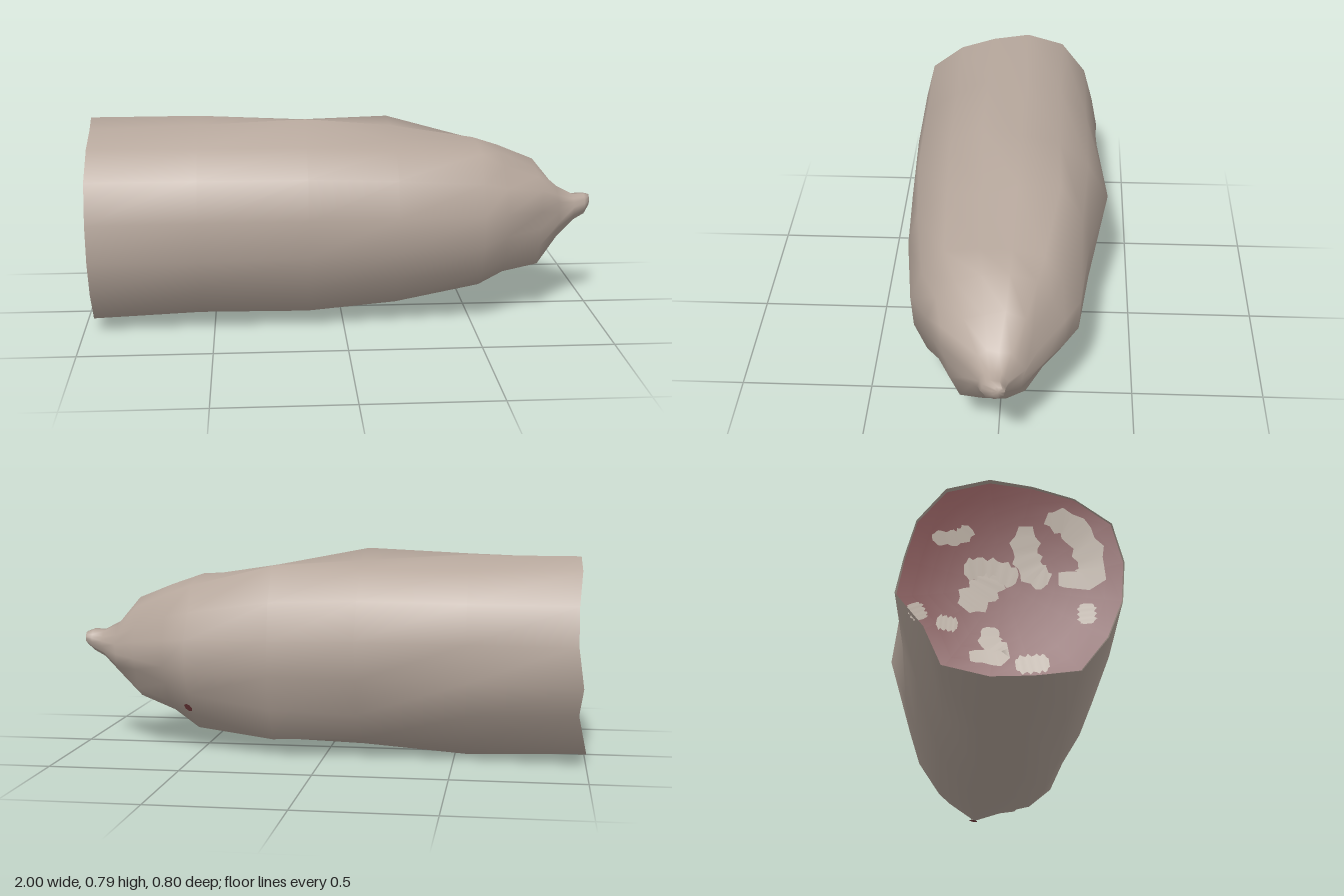
import * as THREE from 'three';

const SIDES = 16;

// Rings along the length: x, centre y, centre z, and radii clockwise from the top
// (a single radius makes a round, pleated ring)
const RINGS = [
  { x: -0.96, y: 0.4, z: 0, r: [.374, .396, .426, .407, .398, .402, .422, .374, .374, .412, .336, .378, .35, .372, .394, .384] },
  { x: -0.55, y: 0.4, z: 0, r: [.388, .389, .422, .407, .403, .391, .405, .374, .404, .386, .358, .353, .368, .38, .386, .385] },
  { x: -0.14, y: 0.4, z: 0, r: [.407, .386, .418, .392, .388, .391, .409, .393, .374, .379, .362, .349, .408, .388, .389, .36] },
  { x: 0.20, y: 0.4, z: 0, r: [.31, .361, .386, .376, .367, .352, .379, .33, .363, .39, .35, .332, .331, .361, .4, .339] },
  { x: 0.53, y: 0.4, z: 0, r: [.296, .336, .333, .335, .328, .328, .316, .294, .329, .294, .275, .293, .297, .272, .303, .287] },
  { x: 0.63, y: 0.4, z: 0, r: [.25, .26, .265, .265, .25, .265, .265, .25, .26, .245, .22, .245, .24, .235, .26, .255] },
  { x: 0.77, y: 0.4, z: 0, r: [.18, .195, .233, .204, .185, .205, .235, .21, .205, .19, .145, .165, .148, .15, .19, .198] },
  { x: 0.86, y: 0.39, z: 0.005, r: 0.11 },
  { x: 0.93, y: 0.405, z: 0.008, r: 0.056 },
  { x: 0.975, y: 0.418, z: 0.006, r: 0.044 },
  { x: 1.0, y: 0.428, z: -0.012, r: 0.024 },
];
const PLEAT = 0.12;

// Torn rim: how far single corners stick out past the cut
const RIM = { 9: -0.04, 10: -0.008, 11: -0.02, 14: -0.012, 15: -0.01 };

function ringPoint(i, j, scale = 1) {
  const { x, y, z, r } = RINGS[i];
  const k = j % SIDES;
  const a = THREE.MathUtils.degToRad(14.5 + k * 22.5 - 6 * Math.sin(Math.PI * k / SIDES) ** 2);
  const radius = scale * (Array.isArray(r) ? r[k] : r * (1 - PLEAT * (k % 2)));
  const dx = i === 0 ? RIM[k] || 0 : 0;
  return new THREE.Vector3(x + dx, y + Math.cos(a) * radius, z + Math.sin(a) * radius);
}

function meshGeometry(pos, index) {
  const g = new THREE.BufferGeometry();
  g.setAttribute('position', new THREE.Float32BufferAttribute(pos, 3));
  g.setIndex(index);
  g.computeVertexNormals();
  return g;
}

// Skin lofted through the rings and closed at the tip
function casingGeometry() {
  const pos = [], index = [];
  RINGS.forEach((ring, i) => {
    for (let j = 0; j < SIDES; j++) pos.push(...ringPoint(i, j).toArray());
  });
  for (let i = 0; i < RINGS.length - 1; i++) {
    for (let j = 0; j < SIDES; j++) {
      const a = i * SIDES + j, b = i * SIDES + (j + 1) % SIDES;
      index.push(a, b, a + SIDES, b, b + SIDES, a + SIDES);
    }
  }
  const last = (RINGS.length - 1) * SIDES;
  pos.push(1.0, 0.428, -0.012);
  for (let j = 0; j < SIDES; j++) index.push(last + j, last + (j + 1) % SIDES, last + SIDES);
  return meshGeometry(pos, index);
}

// The cut face is a shallow dish
const dishX = (z, y) => -0.956 + 0.05 * Math.max(0, 1 - (z * z + (y - 0.4) ** 2) / 0.152);

function meatGeometry() {
  const pos = [], index = [], loops = 7;
  for (let i = 0; i <= loops; i++) {
    for (let j = 0; j < SIDES; j++) {
      const p = ringPoint(0, j, 0.99 * i / loops);
      pos.push(dishX(p.z, p.y), p.y, p.z);
      if (i === loops) continue;
      const a = i * SIDES + j, b = i * SIDES + (j + 1) % SIDES;
      index.push(a, b + SIDES, a + SIDES);
      if (i > 0) index.push(a, b, b + SIDES);
    }
  }
  return meshGeometry(pos, index);
}

// Ribbon of fat lying on the dish along a few [z, y] points
function fatGeometry(points, width) {
  const curve = new THREE.SplineCurve(points.map(p => new THREE.Vector2(...p)));
  const n = 14, pos = [], index = [];
  for (let i = 0; i <= n; i++) {
    const t = i / n, p = curve.getPoint(t), d = curve.getTangent(t);
    const end = Math.min(1, 0.45 + 3 * Math.min(t, 1 - t));
    const w = width * end * (1 + 0.2 * Math.sin(i * 2.1 + p.x * 20));
    for (const s of [w, -w]) {
      const z = p.x - d.y * s, y = p.y + d.x * s;
      pos.push(dishX(z, y) - 0.005, y, z);
    }
    const a = 2 * i;
    if (i < n) index.push(a, a + 1, a + 3, a, a + 3, a + 2);
  }
  return meshGeometry(pos, index);
}

const FAT = [
  [[[0.14, 0.65], [0.22, 0.62], [0.28, 0.52], [0.28, 0.42], [0.18, 0.42]], 0.047],
  [[[0.07, 0.62], [0.07, 0.52], [0.10, 0.44], [0.15, 0.42]], 0.045],
  [[[-0.12, 0.61], [-0.16, 0.57], [-0.25, 0.56]], 0.027],
  [[[-0.14, 0.45], [-0.05, 0.45], [0.04, 0.42]], 0.045],
  [[[-0.04, 0.44], [-0.07, 0.38], [-0.14, 0.30]], 0.052],
  [[[0.27, 0.32], [0.27, 0.24]], 0.028],
  [[[-0.31, 0.30], [-0.28, 0.24]], 0.028],
  [[[-0.23, 0.24], [-0.16, 0.23]], 0.028],
  [[[-0.05, 0.23], [-0.05, 0.17], [-0.02, 0.12], [-0.12, 0.11]], 0.036],
  [[[0.03, 0.08], [0.14, 0.09]], 0.035],
];

// Bare spots: ring, side, then the fraction across and along that panel, and size
const SPOTS = [[4, 9, 0.3, 0.1, 0.02], [3, 8, 0.03, 0.95, 0.018]];

export function createModel() {
  const casingMat = new THREE.MeshStandardMaterial({ name: 'casing', color: 0xb6a79c, side: THREE.DoubleSide });
  const meatMat = new THREE.MeshStandardMaterial({ name: 'meat', color: 0x7a3f40 });
  const fatMat = new THREE.MeshStandardMaterial({ name: 'fat', color: 0xb6a99c });

  const model = new THREE.Group();
  model.name = 'curedSausage';
  const add = (parent, name, geometry, material) => {
    const mesh = new THREE.Mesh(geometry, material);
    mesh.name = name;
    parent.add(mesh);
    return mesh;
  };
  add(model, 'casing', casingGeometry(), casingMat);

  // Cut face with streaks of fat
  const cut = new THREE.Group();
  cut.name = 'cutFace';
  model.add(cut);
  add(cut, 'meat', meatGeometry(), meatMat);
  FAT.forEach(([points, width]) => add(cut, 'fatStreak', fatGeometry(points, width), fatMat));

  // Small bare spots on the underside where meat shows through
  for (const [i, j, across, along, size] of SPOTS) {
    const a = ringPoint(i, j), u = ringPoint(i, j + 1).sub(a), v = ringPoint(i + 1, j).sub(a);
    const normal = u.clone().cross(v).normalize();
    const spot = add(model, 'bareSpot', new THREE.CircleGeometry(size, 7), meatMat);
    spot.position.copy(a).addScaledVector(u, across).addScaledVector(v, along).addScaledVector(normal, 0.005);
    spot.quaternion.setFromUnitVectors(new THREE.Vector3(0, 0, 1), normal);
  }
  return model;
}
